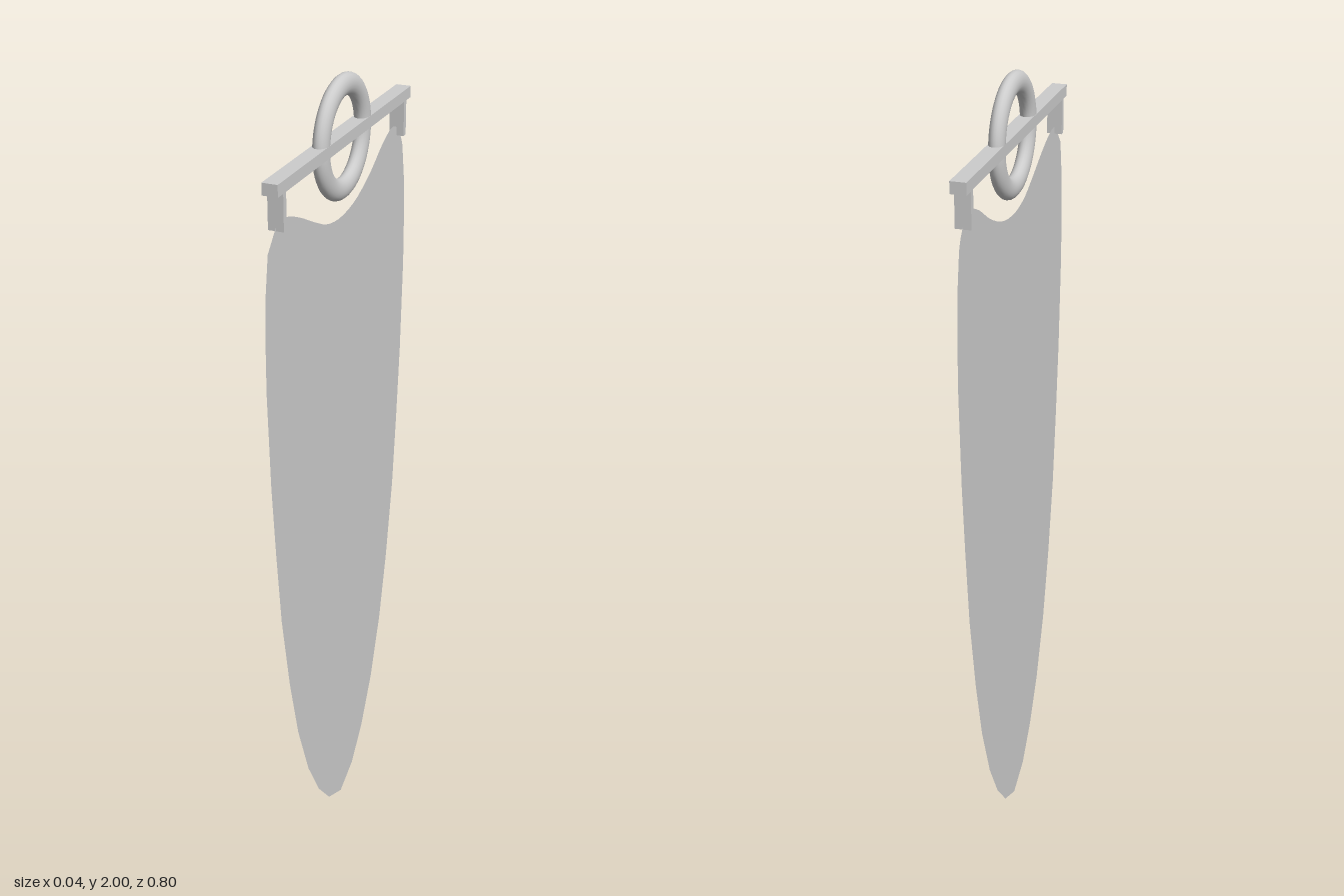
import * as THREE from 'three';

export function createModel() {
  const group = new THREE.Group();
  const metal = new THREE.MeshStandardMaterial({ color: 0xcccccc });
  const sheet = new THREE.MeshStandardMaterial({ color: 0xcccccc, side: THREE.DoubleSide });
  const width = 0.036;

  const add = (name, geometry, material, x, y, z) => {
    const mesh = new THREE.Mesh(geometry, material);
    mesh.name = name;
    mesh.position.set(x, y, z);
    group.add(mesh);
    return mesh;
  };

  // Banner: a paper-thin tapering panel, drawn as [z, y] and turned into the x = 0 plane
  const side = [[0.376, 1.73], [0.392, 1.635], [0.397, 1.52], [0.398, 1.42], [0.387, 1.185],
    [0.371, 1.0], [0.35, 0.8], [0.313, 0.59], [0.27, 0.41], [0.212, 0.246], [0.148, 0.125], [0.08, 0.04]];
  const topEdge = [[-0.366, 1.752], [-0.34, 1.782], [-0.313, 1.793], [-0.286, 1.789], [-0.238, 1.767],
    [-0.17, 1.725], [-0.085, 1.69], [0, 1.678], [0.074, 1.688], [0.138, 1.715], [0.217, 1.754],
    [0.28, 1.778], [0.323, 1.782], [0.35, 1.758]];
  const toVector = ([z, y]) => new THREE.Vector2(z, y);
  const outline = [
    ...side.map(toVector),
    new THREE.Vector2(0, 0),
    ...side.map(([z, y]) => new THREE.Vector2(-z, y)).reverse(),
    ...new THREE.SplineCurve(topEdge.map(toVector)).getPoints(40),
  ];
  const banner = new THREE.ShapeGeometry(new THREE.Shape(outline));
  banner.rotateY(-Math.PI / 2);
  add('banner', banner, sheet, 0, 0, 0);

  // Crossbar and the two short straps that carry the banner
  add('crossbar', new THREE.BoxGeometry(width, 0.027, 0.736), metal, 0, 1.862, -0.008);
  for (const z of [0.328, -0.342]) {
    add('hangerStrap', new THREE.BoxGeometry(width, 0.09, 0.014), metal, 0, 1.811, z);
  }

  // Hanging ring around the middle of the bar, slightly flattened sideways
  const ring = new THREE.TorusGeometry(0.115, 0.025, 20, 56);
  ring.scale(1, 1, width / 0.05);
  ring.rotateY(Math.PI / 2);
  add('hangingRing', ring, metal, 0, 1.86, -0.009);

  return group;
}
